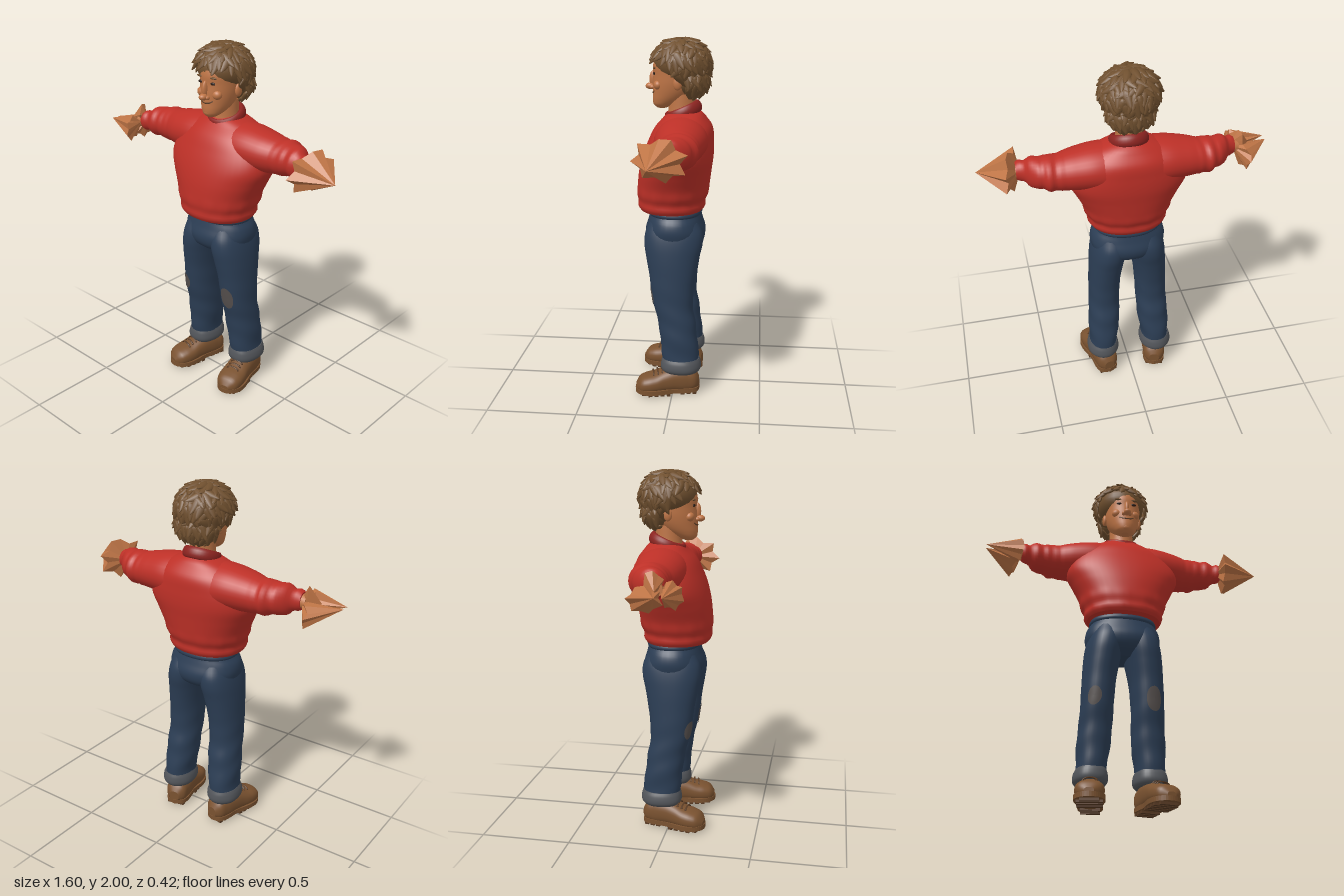
import * as THREE from 'three';
import { mergeGeometries } from 'three/addons/utils/BufferGeometryUtils.js';

const mat = (name, color) => Object.assign(new THREE.MeshStandardMaterial({ color }), { name });
const M = {
  red: mat('sweater red', 0xbd3027), collar: mat('collar dark red', 0x8c2420),
  denim: mat('denim blue', 0x2c3e55), cuff: mat('cuff grey', 0x53565b),
  patch: mat('patch grey', 0x56504e), skin: mat('skin', 0xbf7546),
  hair: mat('hair brown', 0x70502f), shoe: mat('shoe brown', 0x7a5230),
  sole: mat('sole brown', 0x5a3c25), dark: mat('eye dark', 0x2c1d17),
};
let seed = 7;
const rnd = () => (seed = (seed * 16807) % 2147483647) / 2147483647;

// Smooth cross-section reader: rows are [s, c1, c2, r1, r2]
const profile = rows => new THREE.CubicInterpolant(
  new Float64Array(rows.map(r => r[0])), new Float32Array(rows.flatMap(r => r.slice(1))), 4);

// Point on a ring around the given axis, counter-clockwise about +axis
function ringPoint(axis, p, s, a, k = 1, power = 2) {
  const [c1, c2, r1, r2] = p.evaluate(s), e = 2 / power;
  const u = Math.sign(Math.cos(a)) * Math.abs(Math.cos(a)) ** e * r1 * k;
  const v = Math.sign(Math.sin(a)) * Math.abs(Math.sin(a)) ** e * r2 * k;
  if (axis === 'y') return [c1 + u, s, c2 - v];
  return axis === 'x' ? [s, c1 + u, c2 + v] : [c1 + u, c2 + v, s];
}

// Closed body from interpolated cross-sections, s increasing
function loft(axis, rows, { steps = 30, n = 36, power = 2, ripple = () => 0 } = {}) {
  const p = profile(rows), s0 = rows[0][0], s1 = rows[rows.length - 1][0], pos = [], idx = [];
  const ring = s => {
    for (let j = 0; j < n; j++) {
      const a = j / n * Math.PI * 2;
      pos.push(...ringPoint(axis, p, s, a, 1 + ripple(s, a), power));
    }
  };
  for (let i = 0; i <= steps; i++) ring(s0 + (s1 - s0) * i / steps);
  for (let i = 0; i < steps; i++) for (let j = 0; j < n; j++) {
    const a = i * n + j, b = i * n + (j + 1) % n;
    idx.push(a, b, a + n, b, b + n, a + n);
  }
  for (const [s, end] of [[s0, 0], [s1, 1]]) {
    const o = pos.length / 3, [c1, c2] = p.evaluate(s);
    pos.push(...(axis === 'y' ? [c1, s, c2] : axis === 'x' ? [s, c1, c2] : [c1, c2, s]));
    ring(s);
    for (let j = 0; j < n; j++) {
      const a = o + 1 + j, b = o + 1 + (j + 1) % n;
      idx.push(o, end ? a : b, end ? b : a);
    }
  }
  return build(pos, idx);
}
function build(pos, idx) {
  const g = new THREE.BufferGeometry();
  g.setAttribute('position', new THREE.Float32BufferAttribute(pos, 3));
  g.setIndex(idx);
  g.computeVertexNormals();
  return g;
}
// Mirror across x = 0, keeping faces outward
function mirror(g) {
  const m = g.index ? g.clone() : build([...g.attributes.position.array], [...g.attributes.position.array.keys()].filter(i => i < g.attributes.position.count));
  m.scale(-1, 1, 1);
  const ix = m.index.array;
  for (let i = 0; i < ix.length; i += 3) [ix[i], ix[i + 1]] = [ix[i + 1], ix[i]];
  m.computeVertexNormals();
  return m;
}
const ball = (x, y, z, a, b, c) => new THREE.SphereGeometry(1, 24, 16).scale(a, b, c).translate(x, y, z);

// Faceted crumpled cone: a jagged ring joined to a tip and a root
function crumple(c, ry, rz, tip, root, n = 13) {
  const pos = [], idx = [];
  for (let j = 0; j < n; j++) {
    const a = j / n * Math.PI * 2, k = (j % 2 ? 0.74 : 1) + rnd() * 0.1;
    const z = c[2] + Math.sin(a) * rz * k;
    pos.push(c[0] - 0.25 * (z - c[2]) + (rnd() - 0.5) * 0.03, c[1] + Math.cos(a) * ry * k, z);
    idx.push(j, (j + 1) % n, n, (j + 1) % n, j, n + 1);
  }
  pos.push(...tip, ...root);
  const g = build(pos, idx).toNonIndexed();
  g.computeVertexNormals();
  return g;
}

export function createModel() {
  const root = new THREE.Group();
  root.name = 'figure';
  const add = (name, g, m) => {
    const mesh = new THREE.Mesh(g, m);
    mesh.name = name;
    root.add(mesh);
  };
  const pair = (name, g, m) => { add(name + 'Left', g, m); add(name + 'Right', mirror(g), m); };

  // Sweater
  add('sweaterBody', loft('y', [
    [1.06, 0, .02, .208, .175], [1.08, 0, .02, .222, .188], [1.115, 0, .02, .222, .187], [1.15, 0, .015, .24, .198],
    [1.2, 0, .01, .252, .2], [1.28, 0, 0, .29, .2], [1.36, 0, -.015, .325, .195], [1.44, 0, -.03, .31, .18],
    [1.52, 0, -.045, .25, .155], [1.57, 0, -.05, .185, .115], [1.6, 0, -.05, .11, .09], [1.61, 0, -.05, .08, .07],
  ], { steps: 44, n: 48, power: 2.2, ripple: (s, a) => s < 1.2 ? .012 * Math.sin(a * 14) * Math.sin((s - 1.06) * 22) : 0 }), M.red);
  pair('sleeve', loft('x', [
    [0, 1.45, -.05, .135, .14], [.1, 1.455, -.045, .135, .145], [.2, 1.465, -.045, .12, .143], [.3, 1.46, -.045, .108, .128],
    [.4, 1.454, -.05, .094, .105], [.44, 1.456, -.05, .094, .106], [.465, 1.457, -.042, .083, .092], [.5, 1.457, -.03, .086, .088],
    [.53, 1.455, -.02, .078, .07], [.55, 1.455, -.005, .059, .055], [.575, 1.455, .008, .058, .052], [.595, 1.455, .01, .046, .044],
  ], { steps: 50, n: 32, ripple: (s, a) => s > .36 ? .02 * Math.sin(s * 110 + 2 * Math.sin(a)) : 0 }), M.red);
  add('collar', new THREE.TorusGeometry(.088, .019, 14, 40).rotateX(Math.PI / 2).scale(1, 1.7, 1)
    .rotateX(.4).translate(0, 1.6, -.042), M.collar);

  // Hands: folded cones
  const wrist = loft('x', [[.56, 1.455, .01, .042, .04], [.62, 1.45, .015, .04, .045]], { steps: 3, n: 20 });
  pair('wrist', wrist, M.skin);
  add('handLeft', crumple([.615, 1.452, .02], .108, .138, [.8, 1.44, .06], [.57, 1.45, .01], 15), M.skin);
  const handParts = [
    crumple([.645, 1.4, -.03], .068, .088, [.8, 1.44, .05], [.59, 1.45, .0]),
    crumple([.61, 1.42, .105], .072, .054, [.8, 1.44, .09], [.59, 1.45, .05]),
    crumple([.615, 1.485, .01], .056, .05, [.69, 1.45, .03], [.585, 1.47, .01], 9),
  ];
  handParts.forEach((g, i) => {
    const m = mirror(g);
    add(['palmRight', 'fingersRight', 'thumbRight'][i], m, M.skin);
  });

  // Jeans
  add('jeansHips', loft('y', [
    [.835, 0, 0, .09, .085], [.87, 0, 0, .175, .14], [.93, 0, 0, .209, .168], [1, 0, 0, .205, .152],
    [1.04, 0, 0, .182, .142], [1.08, 0, 0, .172, .136],
  ], { steps: 20, power: 2.2 }), M.denim);
  add('waistband', loft('y', [[1.03, 0, 0, .183, .143], [1.04, 0, 0, .19, .15], [1.06, 0, 0, .186, .147], [1.07, 0, 0, .178, .14]],
    { steps: 8, power: 2.2 }), M.denim);
  const legRows = [
    [.17, .162, -.045, .081, .1], [.22, .16, -.045, .08, .105], [.3, .155, -.035, .087, .105], [.4, .148, -.025, .091, .105],
    [.5, .143, -.005, .089, .108], [.6, .139, .005, .09, .118], [.7, .133, .005, .092, .13], [.8, .122, .005, .098, .148],
    [.88, .11, .002, .102, .163], [.94, .1, 0, .1, .16], [1, .09, 0, .09, .135],
  ];
  const fold = (s, a) => .022 * Math.sin(s * 42 + 2.2 * Math.sin(a)) * THREE.MathUtils.smoothstep(.75 - s, 0, .4);
  pair('jeansLeg', loft('y', legRows, { steps: 60, power: 2.2, ripple: fold }), M.denim);
  pair('jeansCuff', loft('y', [
    [.135, .163, -.045, .08, .1], [.15, .163, -.045, .091, .112], [.195, .162, -.045, .09, .112], [.215, .161, -.045, .082, .105],
  ], { steps: 12, power: 2.2, ripple: (s, a) => .012 * Math.sin(a * 5) }), M.cuff);

  // Knee patches follow the leg surface
  const leg = profile(legRows);
  function kneePatch(a0, y0, da, dy) {
    const pos = [], idx = [], n = 24, rings = 4;
    for (let r = 0; r <= rings; r++) for (let j = 0; j < n; j++) {
      const t = j / n * Math.PI * 2, a = a0 + Math.cos(t) * da * r / rings, y = y0 + Math.sin(t) * dy * r / rings;
      pos.push(...ringPoint('y', leg, y, a, 1.035 + fold(y, a), 2.2));
      const q = r * n + j, q2 = r * n + (j + 1) % n;
      if (r < rings) idx.push(q, q + n, q2, q2, q + n, q2 + n);
    }
    return build(pos, idx);
  }
  add('kneePatchLeft', kneePatch(-1.45, .585, .42, .068), M.patch);
  add('kneePatchRight', mirror(kneePatch(-1.2, .58, .4, .052)), M.patch);

  // Boots, toes turned outward
  const place = g => g.rotateY(.2).translate(.17, 0, 0);
  pair('shoeUpper', place(loft('z', [
    [-.15, 0, .065, .03, .03], [-.13, 0, .075, .055, .055], [-.08, 0, .08, .066, .075], [0, 0, .085, .07, .073],
    [.05, 0, .078, .072, .066], [.1, 0, .068, .077, .056], [.15, 0, .062, .074, .05], [.19, 0, .055, .056, .038], [.21, 0, .045, .025, .016],
  ], { steps: 34, power: 2.4 })), M.shoe);
  const outline = new THREE.Shape(new THREE.SplineCurve([
    [0, -.155], [.05, -.135], [.066, -.08], [.064, 0], [.08, .09], [.076, .155], [.045, .2], [0, .215],
    [-.045, .2], [-.076, .155], [-.08, .09], [-.064, 0], [-.066, -.08], [-.05, -.135], [0, -.155],
  ].map(p => new THREE.Vector2(...p))).getPoints(56));
  const sole = new THREE.ExtrudeGeometry(outline, { depth: .026, bevelEnabled: false }).rotateX(Math.PI / 2).scale(1, 1, 1).translate(0, .04, 0);
  pair('shoeSole', place(sole), M.shoe);
  const treads = [];
  for (const z of [-.12, -.085, -.05, .03, .065, .1, .135, .17])
    treads.push(new THREE.BoxGeometry(z > .15 ? .1 : z > 0 ? .135 : .105, .016, .022).translate(0, .008, z));
  pair('shoeTreads', place(mergeGeometries(treads)), M.sole);
  const laces = [];
  for (let i = 0; i < 4; i++)
    laces.push(new THREE.TorusGeometry(.036, .005, 6, 12, Math.PI).scale(1, .5, 1).translate(0, .141 - i * .008, .04 + i * .024));
  pair('shoeLaces', place(mergeGeometries(laces)), M.sole);

  // Head and face
  add('neck', loft('y', [[1.54, 0, -.035, .078, .085], [1.6, 0, -.035, .07, .075], [1.7, 0, -.035, .068, .075]], { steps: 8 }), M.skin);
  add('head', loft('y', [
    [1.62, 0, .075, .022, .025], [1.635, 0, .068, .046, .05], [1.66, 0, .045, .066, .08], [1.7, 0, .02, .085, .105], [1.75, 0, .005, .098, .12],
    [1.8, 0, 0, .103, .122], [1.85, 0, -.01, .107, .133], [1.9, 0, -.02, .1, .125], [1.95, 0, -.03, .06, .08],
  ], { steps: 36 }), M.skin);
  add('noseBridge', ball(0, 1.775, .122, .014, .046, .022), M.skin);
  add('noseTip', ball(0, 1.737, .138, .022, .018, .027), M.skin);
  add('chin', ball(0, 1.65, .098, .034, .024, .026), M.skin);
  pair('nostril', ball(.018, 1.733, .126, .012, .012, .016), M.skin);
  pair('cheek', ball(.052, 1.748, .09, .03, .026, .025), M.skin);
  pair('ear', ball(.104, 1.762, -.02, .014, .036, .024), M.skin);
  pair('eye', ball(.042, 1.808, .112, .017, .008, .006), M.dark);
  pair('eyebrow', ball(.044, 1.838, .111, .026, .006, .008).rotateZ(0), M.hair);
  const smile = new THREE.CatmullRomCurve3([[-.042, 1.715, .109], [-.022, 1.704, .12], [0, 1.701, .124], [.022, 1.704, .12], [.042, 1.715, .109]]
    .map(p => new THREE.Vector3(...p)));
  add('mouth', new THREE.TubeGeometry(smile, 20, .004, 8), M.sole);

  // Hair: base volumes covered with curled locks
  add('hairCrown', ball(-.005, 1.865, -.035, .14, .115, .155), M.hair);
  add('hairNape', ball(0, 1.775, -.08, .112, .095, .088), M.hair);
  const locks = [];
  function lock(c, r, n) {
    const normal = new THREE.Vector3(n.x / r[0], n.y / r[1], n.z / r[2]).normalize();
    const dir = new THREE.Vector3(0, -1, .001).addScaledVector(normal, normal.y).normalize()
      .applyAxisAngle(normal, (rnd() - .5) * 1.8);
    const g = new THREE.SphereGeometry(1, 9, 8), p = g.attributes.position, size = .85 + rnd() * .4;
    for (let i = 0; i < p.count; i++) {
      const t = (p.getY(i) + 1) / 2, k = 1 - .55 * t;
      p.setXYZ(i, p.getX(i) * k + .35 * t * t, p.getY(i), p.getZ(i) * k + .9 * t * t);
    }
    g.scale(.026 * size, .042 * size, .016 * size);
    const side = new THREE.Vector3().crossVectors(dir, normal);
    g.applyMatrix4(new THREE.Matrix4().makeBasis(side, dir, normal)
      .setPosition(c[0] + n.x * r[0], c[1] + n.y * r[1], c[2] + n.z * r[2]));
    g.computeVertexNormals();
    locks.push(g);
  }
  function scatter(count, c, r, keep) {
    for (let i = 0; i < count; i++) {
      const y = 1 - 2 * (i + .5) / count, q = Math.sqrt(1 - y * y), a = i * 2.39996;
      const n = new THREE.Vector3(Math.cos(a) * q, y, Math.sin(a) * q);
      if (keep(c[1] + y * r[1], c[2] + n.z * r[2])) lock(c, r, n);
    }
  }
  scatter(230, [-.008, 1.858, -.03], [.148, .125, .153], (y, z) => y > 1.895 || z < .06 - (1.88 - y) * .9);
  scatter(110, [0, 1.772, -.08], [.118, .09, .092], (y, z) => z < -.07 && y < 1.83);
  add('hairLocks', mergeGeometries(locks), M.hair);
  return root;
}
